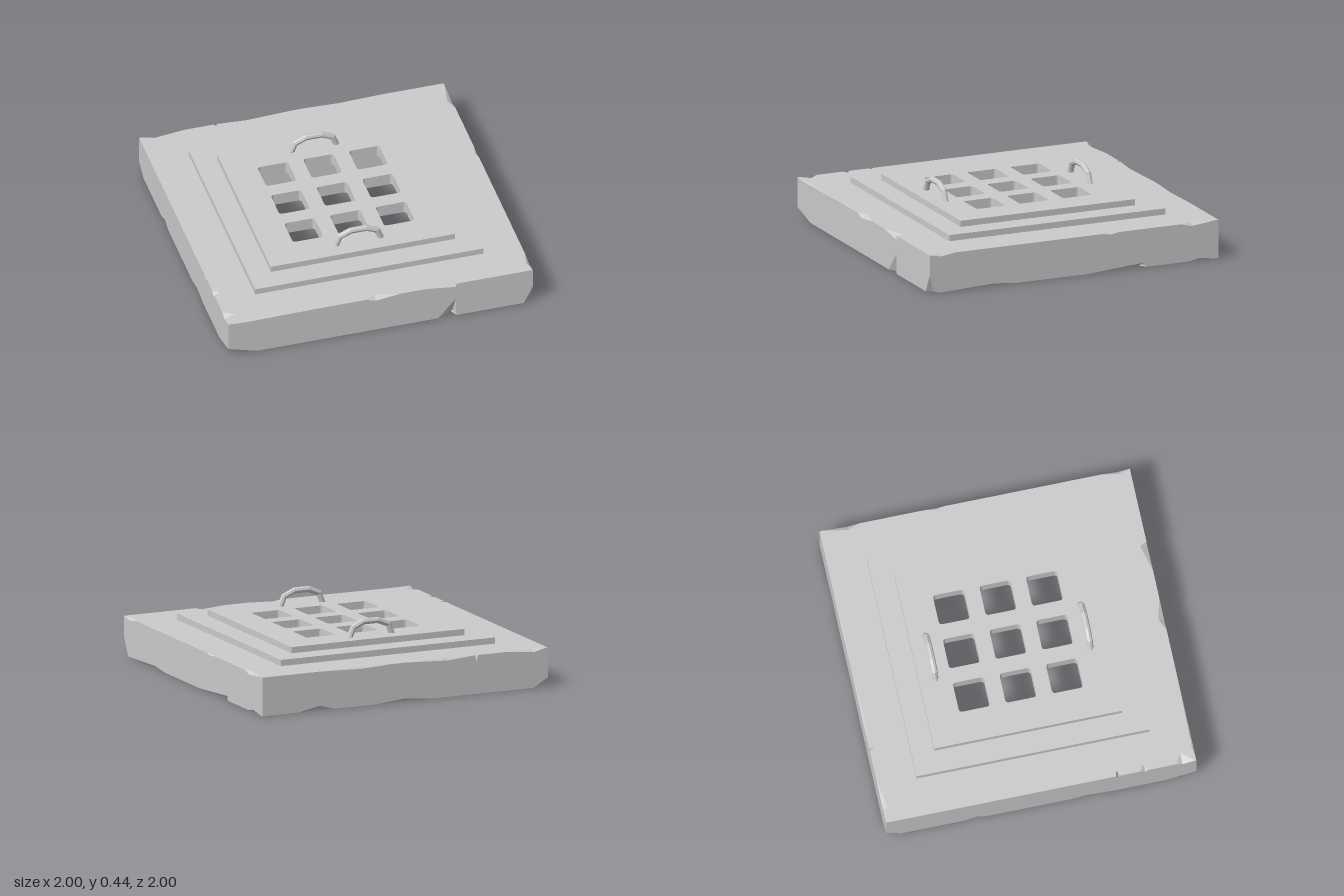
import * as THREE from 'three';

const material = new THREE.MeshStandardMaterial({ color: 0xcccccc, flatShading: true });
const H = 0.25;       // slab height
const OPENING = 0.55; // half width of the shaft through the slab

// Chips per side: [start, deepest point, end, inset, height], measured along the side
const chips = [
  { // front, u = x
    top: [[-1, -0.9, -0.4, 0.01, 0.006], [-0.1, -0.03, 0.13, 0.035, 0.02], [0.3, 0.495, 0.5, 0.05, 0.025]],
    bottom: [[-1.2, -1, -0.81, 0.09, 0.055], [0.38, 0.492, 0.5, 0.06, 0.13], [0.94, 1, 1.06, 0.04, 0.12]],
  },
  { // right, u = -z
    top: [[-1, -0.92, -0.82, 0.02, 0.015], [0.2, 0.25, 0.32, 0.012, 0.01], [0.74, 0.82, 0.98, 0.03, 0.02]],
    bottom: [[-1.06, -1, -0.94, 0.04, 0.12], [-0.9, -0.55, -0.4, 0.02, 0.015],
      [0.1, 0.492, 0.5, 0.06, 0.03], [0.8, 0.87, 0.97, 0.03, 0.015]],
  },
  { // back, u = -x
    top: [[-0.6, -0.3, -0.1, 0.01, 0.01], [0, 0.3, 0.49, 0.015, 0.015], [0.49, 0.5, 0.51, 0.08, 0.04],
      [0.7, 0.9, 0.98, 0.03, 0.02]],
    bottom: [[-0.75, -0.6, -0.5, 0.03, 0.03], [-0.2, 0, 0.2, 0.02, 0.02], [0.9, 1, 1.1, 0.06, 0.06]],
  },
  { // left, u = z
    top: [[0.48, 0.5, 0.51, 0.09, 0.03], [0.64, 0.67, 0.69, 0.06, 0.02], [0.87, 0.91, 0.99, 0.07, 0.02]],
    bottom: [[-1.1, -1, -0.9, 0.06, 0.06], [-0.5, -0.42, -0.35, 0.03, 0.03], [0.2, 0.3, 0.45, 0.03, 0.02],
      [0.81, 1, 1.2, 0.09, 0.055]],
  },
];

// Inset and height of the damage at u
function damage(list, u) {
  let inset = 0, height = 0;
  for (const [a, p, b, d, h] of list) {
    const k = Math.max(0, u < p ? (u - a) / (p - a) : (b - u) / (b - p));
    inset = Math.max(inset, k * d);
    height = Math.max(height, k * h);
  }
  return [inset, height];
}

// Square ring of cross-sections, broken along its outer edges
function slabGeometry() {
  const sections = [];
  chips.forEach(({ top, bottom }, side) => {
    const angle = side * Math.PI / 2;
    const point = (u, inset, y) => {
      const m = 1 - inset;
      return new THREE.Vector3(THREE.MathUtils.clamp(u, -m, m), y, m)
        .applyAxisAngle(THREE.Object3D.DEFAULT_UP, angle);
    };
    const inner = (u, y) => new THREE.Vector3(u * OPENING, y, OPENING)
      .applyAxisAngle(THREE.Object3D.DEFAULT_UP, angle);
    const marks = [...top, ...bottom].flatMap((c) => c.slice(0, 3)).filter((u) => Math.abs(u) < 1);
    const stops = [...new Set([-1, ...marks, 1])].sort((a, b) => a - b);
    for (const u of stops) {
      const [ti, th] = damage(top, u);
      const [bi, bh] = damage(bottom, u);
      sections.push([inner(u, 0), point(u, bi, 0), point(u, 0, bh),
        point(u, 0, H - th), point(u, ti, H), inner(u, H)]);
    }
  });
  const positions = [];
  sections.forEach((s, i) => {
    const n = sections[(i + 1) % sections.length];
    s.forEach((a, j) => {
      const k = (j + 1) % s.length;
      for (const v of [a, n[j], n[k], a, n[k], s[k]]) positions.push(v.x, v.y, v.z);
    });
  });
  const geometry = new THREE.BufferGeometry();
  geometry.setAttribute('position', new THREE.Float32BufferAttribute(positions, 3));
  geometry.computeVertexNormals();
  return geometry;
}

// Square outline with optional rounded corners
function square(path, cx, cy, half, r) {
  const corners = [[1, -1, -Math.PI / 2], [1, 1, 0], [-1, 1, Math.PI / 2], [-1, -1, Math.PI]];
  for (const [sx, sy, a] of corners) {
    if (r) path.absarc(cx + sx * (half - r), cy + sy * (half - r), r, a, a + Math.PI / 2, false);
    else if (sx > 0 && sy < 0) path.moveTo(cx + half, cy - half);
    else path.lineTo(cx + sx * half, cy + sy * half);
  }
  path.closePath();
  return path;
}

// Plate pierced by a three by three grid of openings
function plateGeometry(half, y, depth) {
  const shape = square(new THREE.Shape(), 0, 0, half, 0);
  for (const x of [-0.3, 0, 0.3])
    for (const z of [-0.3, 0, 0.3]) shape.holes.push(square(new THREE.Path(), x, z, 0.1, 0.02));
  return new THREE.ExtrudeGeometry(shape, { depth, bevelEnabled: false, curveSegments: 3 })
    .rotateX(-Math.PI / 2).translate(0, y, 0);
}

// Five-segment arched bar
function handleGeometry() {
  const arch = [[-0.15, 0.32], [-0.122, 0.39], [-0.05, 0.421], [0.05, 0.421], [0.122, 0.39], [0.15, 0.32]];
  const curve = new THREE.CatmullRomCurve3(arch.map(([x, y]) => new THREE.Vector3(x, y, 0)));
  curve.getUtoTmapping = (u) => u; // rings fall on the given points
  return new THREE.TubeGeometry(curve, 5, 0.02, 8);
}

export function createModel() {
  const group = new THREE.Group();
  const add = (name, geometry) => {
    const mesh = new THREE.Mesh(geometry, material);
    mesh.name = name;
    group.add(mesh);
    return mesh;
  };
  add('stoneSlab', slabGeometry());
  add('lowerPlate', plateGeometry(0.75, H, 0.04));
  add('upperGrate', plateGeometry(0.605, H + 0.04, 0.04));
  const handle = handleGeometry();
  add('frontHandle', handle).position.z = 0.5;
  add('backHandle', handle).position.z = -0.5;
  return group;
}
